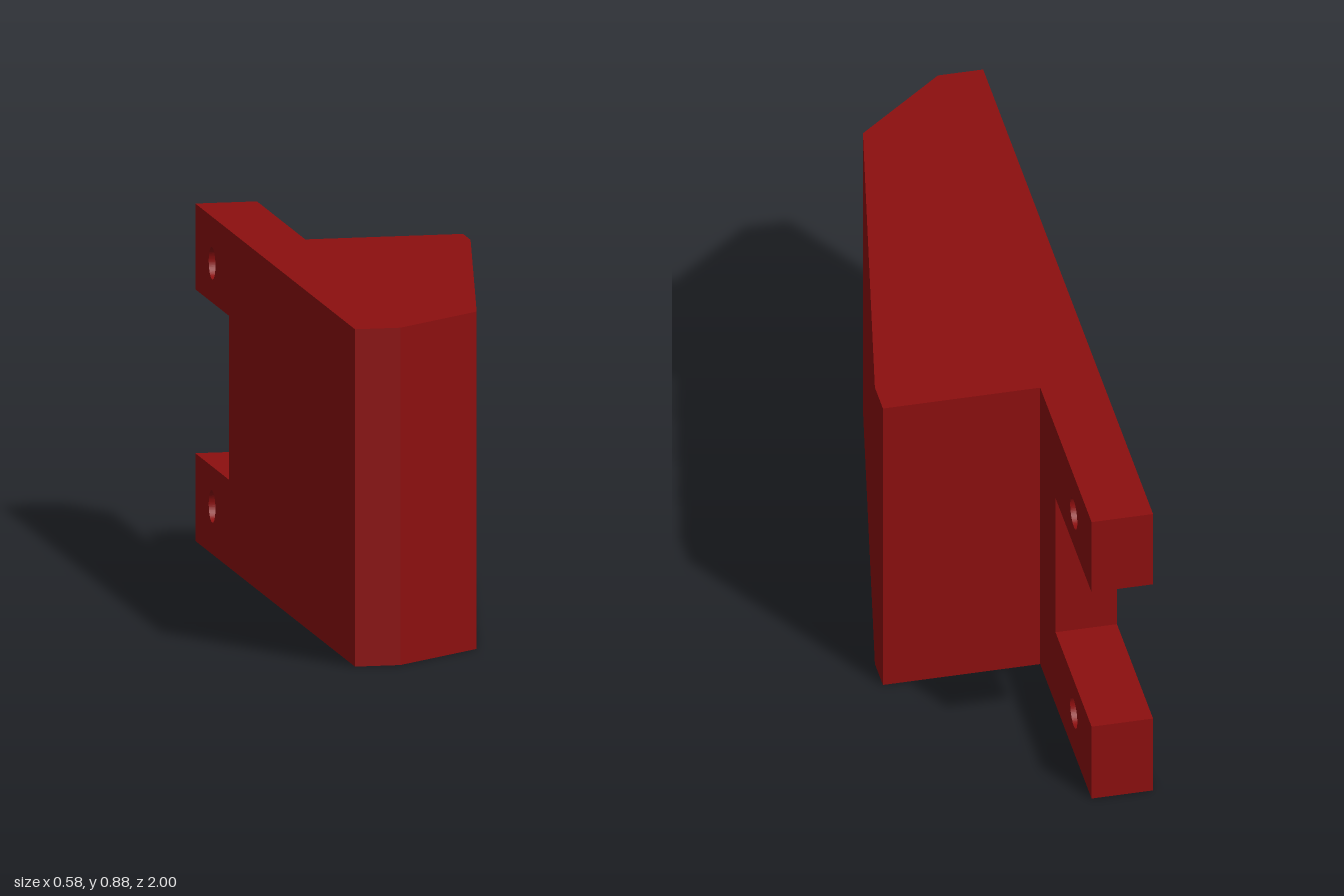
import * as THREE from 'three';

const HEIGHT = 0.885;
const LEFT_EDGE = -0.29; // flat mounting side
const SHOULDER_Z = -0.395; // where the wedge body ends and the plate begins

const shapeFrom = (points) => new THREE.Shape(points.map(([x, y]) => new THREE.Vector2(x, y)));

export function createModel() {
  const model = new THREE.Group();
  model.name = 'wedgeBracket';
  const material = new THREE.MeshStandardMaterial({ color: 0x8c0f0f });

  const addPart = (name, geometry) => {
    const mesh = new THREE.Mesh(geometry, material);
    mesh.name = name;
    model.add(mesh);
  };

  // Wedge body: plan outline as [x, z], extruded upwards
  const plan = [
    [LEFT_EDGE, 1], [-0.17, 1], [0.075, 0.795], [0.29, -0.3],
    [0.29, SHOULDER_Z], [LEFT_EDGE, SHOULDER_Z],
  ];
  const body = new THREE.ExtrudeGeometry(shapeFrom(plan.map(([x, z]) => [x, -z])), {
    depth: HEIGHT, bevelEnabled: false,
  });
  body.rotateX(-Math.PI / 2);
  addPart('wedgeBody', body);

  // Forked mounting plate: side outline as [-z, y], extruded across x
  const fork = shapeFrom([
    [-SHOULDER_Z, 0], [1, 0], [1, 0.23], [0.575, 0.23],
    [0.575, 0.66], [1, 0.66], [1, HEIGHT], [-SHOULDER_Z, HEIGHT],
  ]);
  // One screw hole through each prong
  for (const y of [0.125, 0.763]) {
    fork.holes.push(new THREE.Path().absarc(0.79, y, 0.042, 0, Math.PI * 2, true));
  }
  const plate = new THREE.ExtrudeGeometry(fork, {
    depth: 0.163, bevelEnabled: false, curveSegments: 32,
  });
  plate.rotateY(Math.PI / 2);
  plate.translate(LEFT_EDGE, 0, 0);
  addPart('forkedMountingPlate', plate);

  return model;
}
